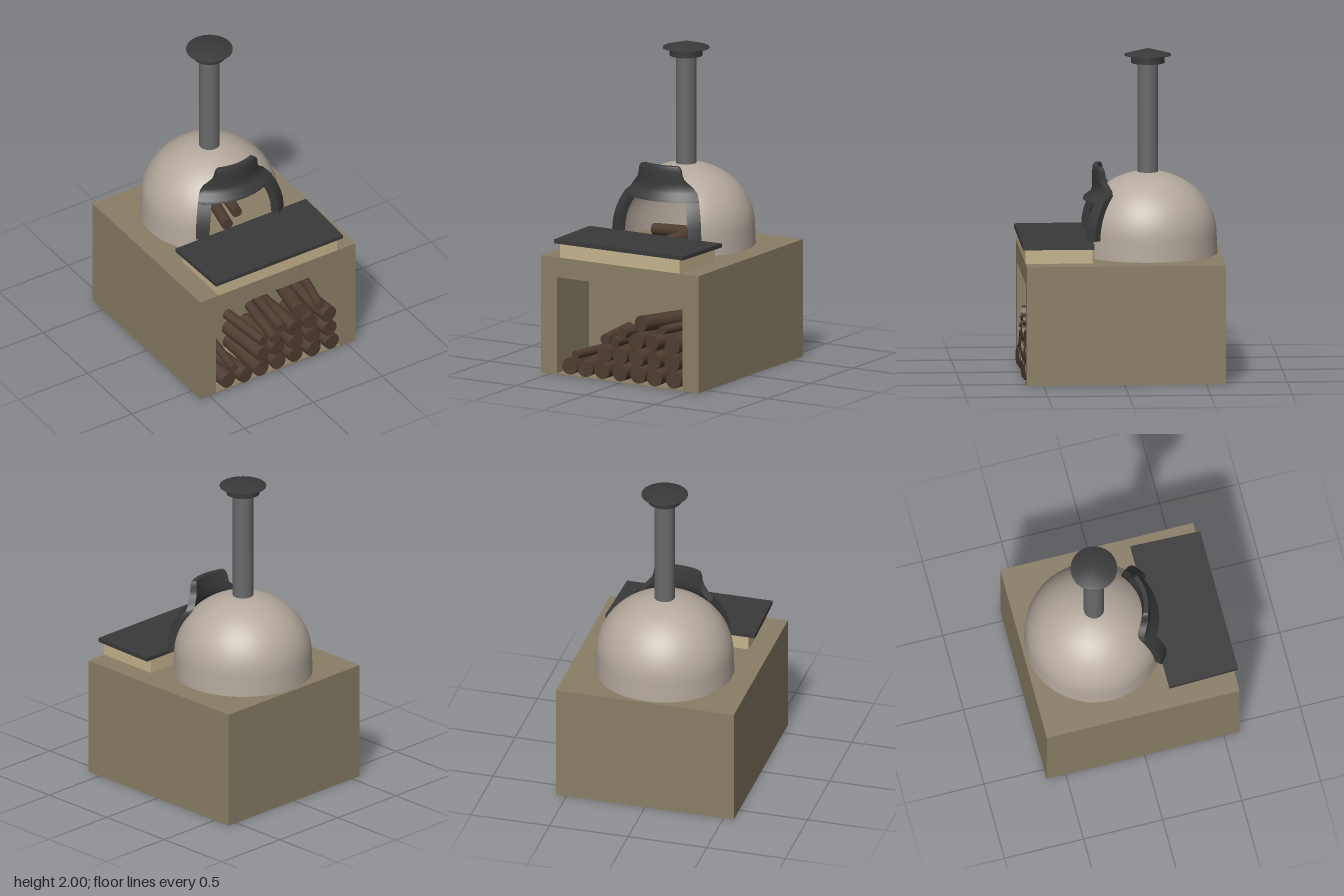
import * as THREE from 'three';
import { toCreasedNormals } from 'three/addons/utils/BufferGeometryUtils.js';

const DEG = Math.PI / 180;
const OVEN_Z = -0.175;

function mat(name, color, side = THREE.FrontSide) {
  const m = new THREE.MeshStandardMaterial({ color, side });
  m.name = name;
  return m;
}

// Box given by its limits
function boxBetween(x0, x1, y0, y1, z0, z1) {
  return new THREE.BoxGeometry(x1 - x0, y1 - y0, z1 - z0)
    .translate((x0 + x1) / 2, (y0 + y1) / 2, (z0 + z1) / 2);
}

// Box without its front face, optionally turned inside out
function openBox(geo, inward) {
  const idx = Array.from(geo.index.array);
  idx.splice(24, 6);
  if (inward) idx.reverse();
  geo.setIndex(idx);
  if (inward) geo.computeVertexNormals();
  return geo;
}

// Curved block around the oven axis; each row is [y, angle0, angle1, innerR, outerR]
function curvedBlock(rows, n) {
  const pos = [], idx = [], L = 2 * (n + 1);
  for (const [y, a0, a1, ri, ro] of rows) {
    for (let k = 0; k < L; k++) {
      const outer = k <= n;
      const t = (outer ? k : L - 1 - k) / n;
      const a = (a0 + (a1 - a0) * t) * DEG, r = outer ? ro : ri;
      pos.push(r * Math.sin(a), y, r * Math.cos(a));
    }
  }
  for (let j = 0; j < rows.length - 1; j++) {
    for (let k = 0; k < L; k++) {
      const a = j * L + k, b = j * L + (k + 1) % L;
      idx.push(a, b, b + L, a, b + L, a + L);
    }
  }
  const top = (rows.length - 1) * L;
  for (let k = 0; k < n; k++) {
    const o = k, p = k + 1, q = L - 2 - k, r = L - 1 - k;
    idx.push(top + o, top + p, top + q, top + o, top + q, top + r);
    idx.push(o, q, p, o, r, q);
  }
  const g = new THREE.BufferGeometry();
  g.setAttribute('position', new THREE.Float32BufferAttribute(pos, 3));
  g.setIndex(idx);
  return toCreasedNormals(g, 0.6);
}

export function createModel() {
  const model = new THREE.Group();
  const stone = mat('base stone', 0x8a7f67);
  const plaster = mat('dome plaster', 0xb4a99d, THREE.DoubleSide);
  const iron = mat('dark iron', 0x3a3a3a);
  const steel = mat('flue steel', 0x6a6a6a, THREE.DoubleSide);
  const hearth = mat('hearth stone', 0xc6b48d);
  const wood = mat('firewood', 0x4f3d31);

  const add = (name, geo, material, parent = model) => {
    const m = new THREE.Mesh(geo, material);
    m.name = name;
    parent.add(m);
    return m;
  };

  // Base with a wood store in the front
  add('base', openBox(boxBetween(-0.565, 0.565, 0, 0.735, -0.62, 0.6), false), stone);
  add('woodStore', openBox(boxBetween(-0.45, 0.45, 0.008, 0.61, 0.23, 0.6), true), stone);
  const face = new THREE.Shape([[-0.565, 0], [0.565, 0], [0.565, 0.735], [-0.565, 0.735]]
    .map(p => new THREE.Vector2(...p)));
  face.holes.push(new THREE.Path([[-0.45, 0.008], [-0.45, 0.61], [0.45, 0.61], [0.45, 0.008]]
    .map(p => new THREE.Vector2(...p))));
  add('baseFront', new THREE.ShapeGeometry(face).translate(0, 0, 0.6), stone);

  // Hearth block and tapered shelf
  add('hearthBlock', boxBetween(-0.43, 0.43, 0.735, 0.826, 0.19, 0.6), hearth);
  const plan = new THREE.Shape([[-0.475, 0.18], [0.475, 0.18], [0.462, 0.617], [-0.462, 0.617]]
    .map(p => new THREE.Vector2(...p)));
  const shelf = new THREE.ExtrudeGeometry(plan, { depth: 0.025, bevelEnabled: false });
  add('shelf', shelf.rotateX(Math.PI / 2).translate(0, 0.85, 0), iron);

  const oven = new THREE.Group();
  oven.name = 'oven';
  oven.position.z = OVEN_Z;
  model.add(oven);

  // Dome with the mouth cut out of its front
  const profile = [[0.427, 0.735], [0.425, 0.79]].map(p => new THREE.Vector2(...p));
  for (let i = 0; i <= 20; i++) {
    const a = i / 20 * Math.PI / 2;
    profile.push(new THREE.Vector2(0.422 * Math.cos(a), 0.85 + 0.39 * Math.sin(a)));
  }
  const dome = new THREE.LatheGeometry(profile, 60);
  const p = dome.attributes.position, kept = [], src = dome.index.array;
  for (let i = 0; i < src.length; i += 3) {
    const t = [src[i], src[i + 1], src[i + 2]];
    const mean = f => (f(t[0]) + f(t[1]) + f(t[2])) / 3;
    const x = mean(k => p.getX(k)), y = mean(k => p.getY(k)), z = mean(k => p.getZ(k));
    if (y > 1.09 || Math.abs(Math.atan2(x, z)) > 36 * DEG) kept.push(...t);
  }
  dome.setIndex(kept);
  add('dome', dome, plaster, oven);

  // Mouth surround: two legs and a crown with a projecting lip
  const leg = [[0.85, 33, 43, 0.415, 0.47], [0.92, 32.5, 43, 0.41, 0.463],
    [0.98, 32, 43, 0.395, 0.447], [1.03, 31.5, 43, 0.37, 0.424], [1.07, 31, 43, 0.345, 0.4]];
  add('surroundLegLeft', curvedBlock(leg, 3), iron, oven);
  add('surroundLegRight',
    curvedBlock(leg.map(([y, a, b, ri, ro]) => [y, -b, -a, ri, ro]), 3), iron, oven);
  const crown = [[1.07, 43, 0.345, 0.398], [1.085, 43, 0.335, 0.392], [1.115, 43, 0.31, 0.352],
    [1.14, 40, 0.298, 0.342], [1.165, 34.5, 0.295, 0.34], [1.19, 29.5, 0.295, 0.34],
    [1.215, 27.5, 0.297, 0.34], [1.25, 26.5, 0.302, 0.34], [1.27, 25, 0.304, 0.338],
    [1.28, 22.5, 0.306, 0.334]];
  add('surroundCrown',
    curvedBlock(crown.map(([y, a, ri, ro]) => [y, -a, a, ri, ro]), 20), iron, oven);

  // Flue and rain cap
  add('flue', new THREE.CylinderGeometry(0.063, 0.063, 0.73, 32, 1, true)
    .translate(0, 1.585, 0), steel, oven);
  const cap = [[0.06, 1.95], [0.09, 1.95], [0.09, 1.91], [0.102, 1.91], [0.102, 1.957],
    [0.143, 1.957], [0.143, 1.961], [0, 2]].map(q => new THREE.Vector2(...q));
  add('flueCap', toCreasedNormals(new THREE.LatheGeometry(cap, 40), 0.6), iron, oven);

  // Firewood
  const logs = new THREE.Group();
  logs.name = 'firewood';
  model.add(logs);
  const up = new THREE.Vector3(0, 1, 0);
  const log = (name, r, a, b) => {
    const from = new THREE.Vector3(...a), dir = new THREE.Vector3(...b).sub(from);
    const m = add(name, new THREE.CylinderGeometry(r, r, dir.length(), 18), wood, logs);
    m.position.copy(from).addScaledVector(dir, 0.5);
    m.quaternion.setFromUnitVectors(up, dir.normalize());
  };
  // x, y, radius, sideways and upward drift towards the back
  const stack = [
    [-0.36, 0.062, 0.052, -0.03, 0], [-0.24, 0.062, 0.052, -0.05, 0], [-0.125, 0.062, 0.052, 0, 0],
    [0, 0.062, 0.052, 0.02, 0], [0.13, 0.062, 0.052, -0.02, 0], [0.255, 0.062, 0.052, -0.03, 0],
    [0.39, 0.062, 0.052, -0.03, 0],
    [-0.11, 0.166, 0.05, -0.025, 0], [0, 0.166, 0.052, -0.02, 0], [0.125, 0.166, 0.052, 0, 0],
    [0.25, 0.166, 0.05, 0.03, 0], [0.375, 0.166, 0.052, -0.02, 0],
    [-0.105, 0.26, 0.033, -0.04, 0.005], [-0.03, 0.256, 0.033, 0.05, 0.01],
    [0.12, 0.272, 0.052, -0.02, 0], [0.23, 0.276, 0.05, 0.05, 0], [0.375, 0.27, 0.052, -0.03, 0],
    [0.025, 0.316, 0.034, 0.035, 0.005], [0.155, 0.39, 0.05, 0.075, -0.02],
    [0.305, 0.366, 0.028, 0.085, 0], [-0.32, 0.137, 0.027, 0.05, 0],
  ];
  stack.forEach(([x, y, r, dx, dy], i) =>
    log('log', r, [x, y, 0.6 + 0.012 * ((i * 3) % 4) / 3], [x + dx, y + dy, 0.25]));

  // Logs burning inside the oven
  log('ovenLog', 0.038, [-0.24, 0.785, -0.2], [0.05, 0.81, -0.15]);
  log('ovenLog', 0.036, [-0.02, 0.775, 0.06], [0.03, 0.79, -0.2]);
  log('ovenLog', 0.034, [0.1, 0.772, -0.02], [0.15, 0.772, -0.28]);

  return model;
}
